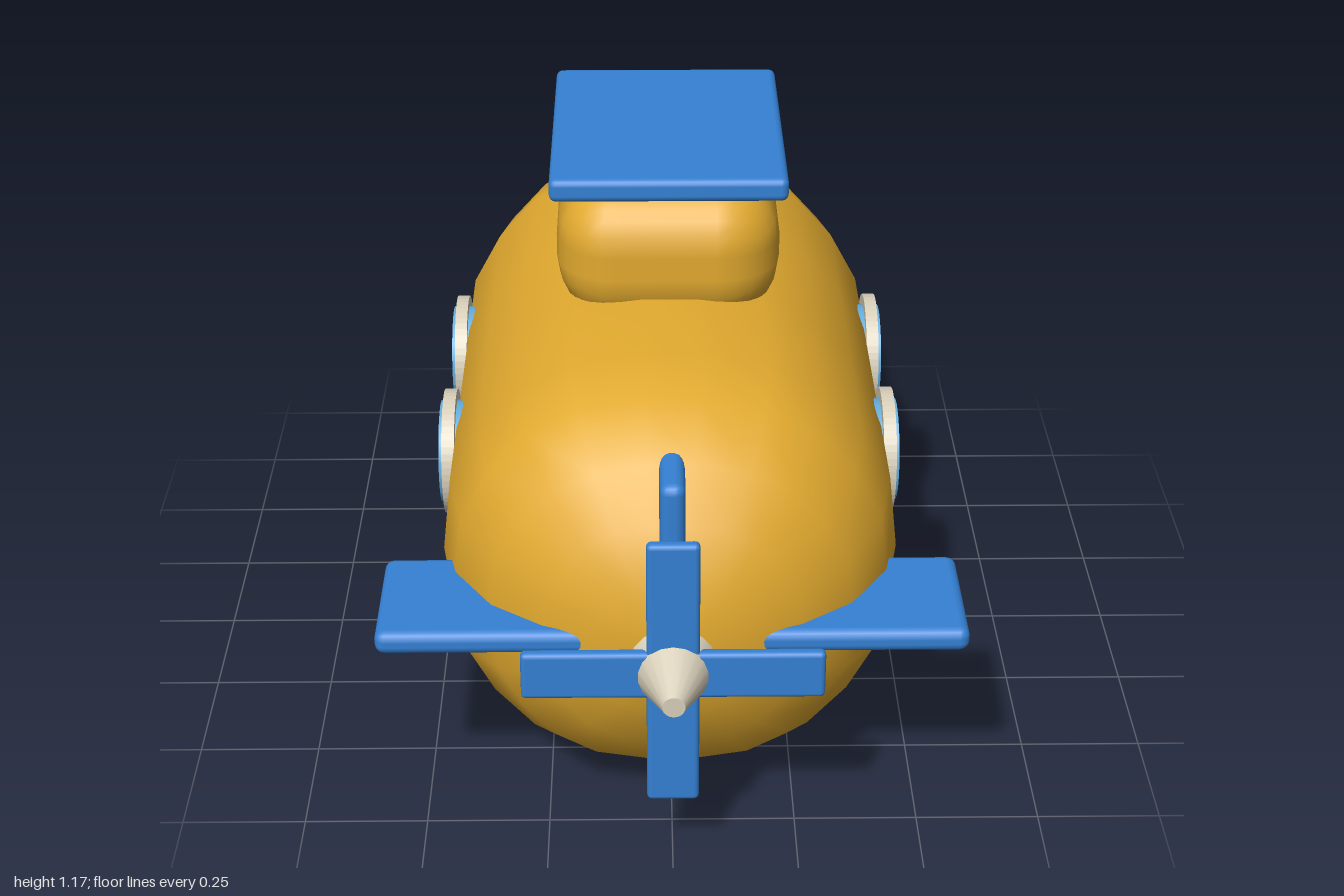
import * as THREE from 'three';
import { RoundedBoxGeometry } from 'three/addons/geometries/RoundedBoxGeometry.js';

const paint = (name, color) => {
  const m = new THREE.MeshStandardMaterial({ color });
  m.name = name;
  return m;
};

// Capsule hull: one oval cross-section scaled along z
function hullGeometry() {
  const quarter = [[0.47, 0], [0.452, 0.16], [0.39, 0.275], [0.305, 0.37], [0.2, 0.427], [0.06, 0.45]];
  const upper = [...quarter, ...quarter.slice(1).reverse().map(([x, y]) => [-x, y])];
  const oval = [...upper, [-0.47, 0], ...upper.slice(1).reverse().map(([x, y]) => [x, -y])];
  const cap = [[0.88, 0], [0.878, 0.15], [0.86, 0.33], [0.818, 0.55], [0.742, 0.77], [0.62, 0.935], [0.475, 1]];
  const stations = [...cap, [0.16, 1], [-0.16, 1], ...cap.slice().reverse().map(([z, s]) => [-z, s])];
  const n = oval.length, pos = [], index = [];
  stations.forEach(([z, s], i) => {
    oval.forEach(([x, y], j) => {
      pos.push(x * s, y * s, z);
      if (i === stations.length - 1) return;
      const a = i * n + j, b = i * n + (j + 1) % n;
      if (i < stations.length - 2) index.push(a, a + n, b + n);
      if (i > 0) index.push(a, b + n, b);
    });
  });
  const g = new THREE.BufferGeometry();
  g.setAttribute('position', new THREE.Float32BufferAttribute(pos, 3));
  g.setIndex(index);
  g.computeVertexNormals();
  return g;
}

export function createModel() {
  const yellow = paint('hull yellow', 0xe2aa2f);
  const blue = paint('fin blue', 0x3581d4);
  const glass = paint('window blue', 0x66aedd);
  const cream = paint('trim cream', 0xd8cfba);
  const lampCream = paint('lamp cream', 0xdcd296);

  const model = new THREE.Group();
  model.name = 'submarine';
  const add = (name, geometry, material, x, y, z) => {
    const mesh = new THREE.Mesh(geometry, material);
    mesh.name = name;
    mesh.position.set(x, y, z);
    model.add(mesh);
    return mesh;
  };
  const box = (w, h, d, r, seg = 2) => new RoundedBoxGeometry(w, h, d, seg, r);
  const discZ = (r, depth, rFront = r, seg = 32) =>
    new THREE.CylinderGeometry(rFront, r, depth, seg).rotateX(Math.PI / 2);

  // Hull, tower and roof
  add('hull', hullGeometry(), yellow, 0, 0.45, -0.06);
  add('tower', box(0.47, 0.32, 0.615, 0.135, 3), yellow, 0, 0.97, -0.13);
  add('towerRoof', box(0.49, 0.05, 0.64, 0.015), blue, 0, 1.15, -0.135);

  // Fins run through the hull
  add('horizontalFin', box(1.165, 0.05, 0.29, 0.02), blue, 0, 0.455, 0.645);
  add('verticalFin', box(0.05, 0.71, 0.29, 0.02), blue, 0, 0.455, 0.65);

  // Propeller
  add('verticalBlade', box(0.102, 0.585, 0.026, 0.01), blue, 0, 0.453, 0.886);
  add('horizontalBlade', box(0.585, 0.102, 0.026, 0.01), blue, 0, 0.453, 0.886);
  add('propellerHub', discZ(0.086, 0.14, 0.022, 18), cream, 0, 0.453, 0.93);

  // Portholes, two on each side
  for (const side of [-1, 1]) {
    for (const z of [0.13, -0.33]) {
      const rim = new THREE.Shape().absarc(0, 0, 0.134, 0, Math.PI * 2);
      rim.holes.push(new THREE.Path().absarc(0, 0, 0.108, 0, Math.PI * 2, true));
      const ring = new THREE.ExtrudeGeometry(rim, { depth: 0.027, bevelEnabled: false, curveSegments: 28 });
      add('portholeRing', ring, cream, side * 0.455, 0.52, z).rotation.y = side * Math.PI / 2;
      const pane = new THREE.CylinderGeometry(0.11, 0.11, 0.05, 28).rotateZ(Math.PI / 2);
      add('portholeGlass', pane, glass, side * 0.465, 0.52, z);
    }
  }

  // Round window and lamp on the far end
  add('endWindow', discZ(0.233, 0.08), glass, 0, 0.53, -0.96);
  add('lampHousing', discZ(0.12, 0.048), blue, 0, 0.243, -0.892);
  add('lamp', discZ(0.1, 0.055), lampCream, 0, 0.25, -0.938);

  return model;
}
